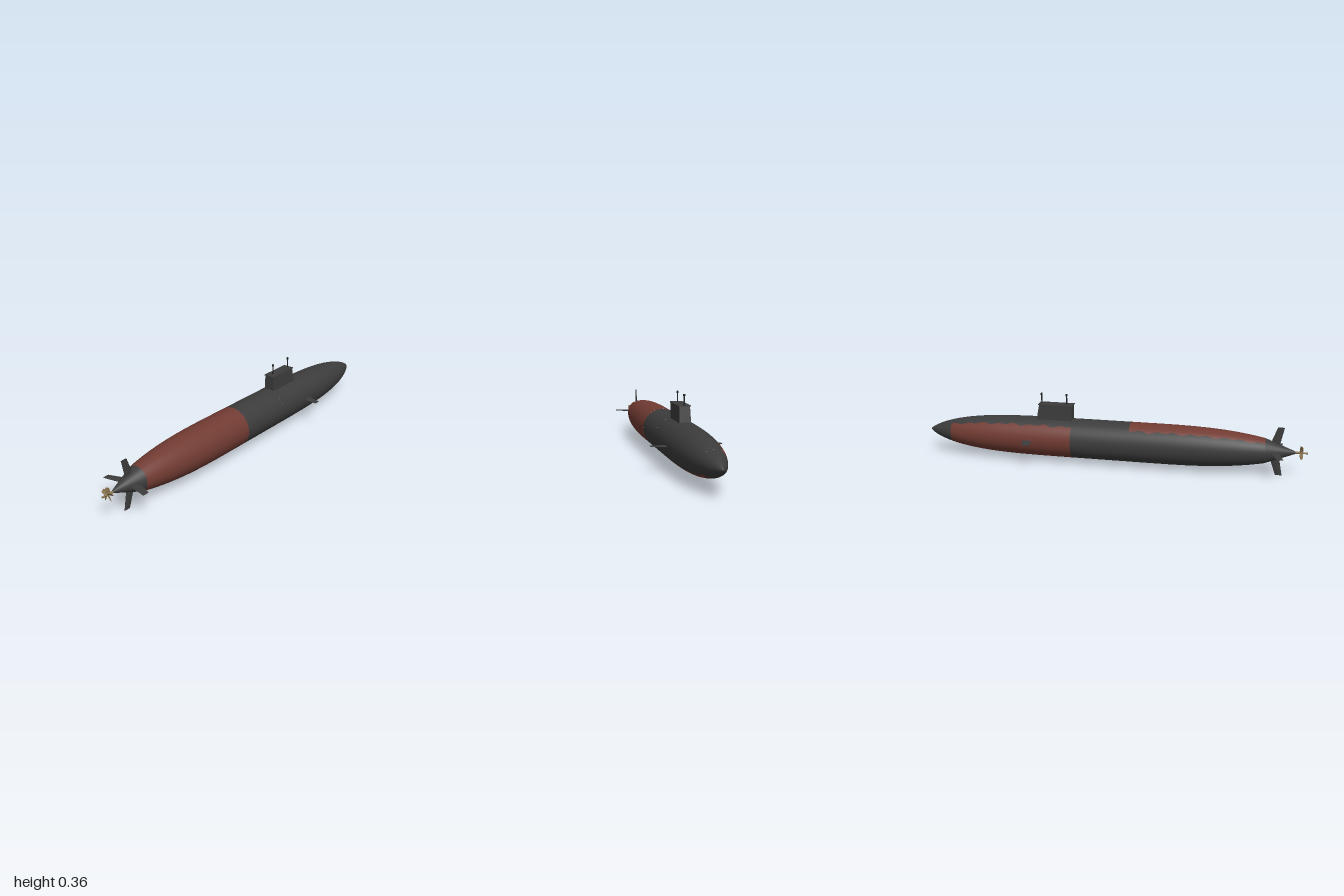
import * as THREE from 'three';

const AXIS_Y = 0.125;

// Hull radius along x: conical tail, long full body, rounded pointed bow
function radius(x) {
  if (x < -0.79) return 0.006 + 0.057 * (x + 0.94) / 0.15;
  if (x < -0.2) return 0.103 - 0.04 * Math.pow((-0.2 - x) / 0.59, 3);
  if (x < 0.1) return 0.103;
  const u = Math.min(1, (x - 0.1) / 0.89);
  return 0.103 * Math.pow(Math.max(0, 1 - Math.pow(u, 4.2)), 0.75);
}

// Wavy longitudinal paint seam, as an angle from +z towards the top
const wave = x => 0.05 * Math.sin(x * 75) + 0.03 * Math.sin(x * 38 + 1);
const lowSeam = x => -0.82 + wave(x);
const highSeam = x => 2.28 + wave(x + 0.4);

// Skin of the hull between two stations and two angles
function hullSkin(x0, x1, from, to, nx, na = 48) {
  const pos = [], nor = [], idx = [];
  for (let i = 0; i <= nx; i++) {
    const x = x0 + (x1 - x0) * i / nx;
    const r = radius(x);
    const lo = Math.max(x - 0.003, x0), hi = Math.min(x + 0.003, x1);
    const slope = (radius(hi) - radius(lo)) / (hi - lo);
    const k = 1 / Math.hypot(1, slope);
    for (let j = 0; j <= na; j++) {
      const a = from(x) + (to(x) - from(x)) * j / na;
      pos.push(x, r * Math.sin(a), r * Math.cos(a));
      nor.push(-slope * k, Math.sin(a) * k, Math.cos(a) * k);
      if (i < nx && j < na) {
        const p = i * (na + 1) + j, q = p + na + 1;
        idx.push(p, q, p + 1, q, q + 1, p + 1);
      }
    }
  }
  const g = new THREE.BufferGeometry();
  g.setAttribute('position', new THREE.Float32BufferAttribute(pos, 3));
  g.setAttribute('normal', new THREE.Float32BufferAttribute(nor, 3));
  g.setIndex(idx);
  return g;
}

// Swept fin pointing up +y, thinning towards the tip
function finGeometry(rootBack, rootFront, tipBack, tipFront, y0, y1, thick) {
  const g = new THREE.BoxGeometry(1, 1, 1, 4, 1, 1).toNonIndexed();
  const p = g.attributes.position;
  for (let i = 0; i < p.count; i++) {
    const u = p.getX(i) + 0.5, v = p.getY(i) + 0.5;
    const back = rootBack + (tipBack - rootBack) * v;
    const front = rootFront + (tipFront - rootFront) * v;
    const foil = 0.15 + 0.85 * Math.sin(Math.PI * u);
    p.setXYZ(i, back + (front - back) * u, y0 + (y1 - y0) * v,
      p.getZ(i) * thick * foil * (1 - 0.5 * v));
  }
  g.computeVertexNormals();
  return g;
}

export function createModel() {
  const mat = (name, color) => {
    const m = new THREE.MeshStandardMaterial({ color });
    m.name = name;
    return m;
  };
  const dark = mat('charcoal', 0x3c3c3c);
  const red = mat('oxide red', 0x713b32);
  const black = mat('black', 0x262626);
  const bronze = mat('bronze', 0x8a734e);

  const model = new THREE.Group();
  model.name = 'submarine';
  const add = (parent, name, geometry, material, x = 0, y = 0, z = 0) => {
    const m = new THREE.Mesh(geometry, material);
    m.name = name;
    m.position.set(x, y, z);
    parent.add(m);
    return m;
  };

  // Hull, split where the paint changes
  const hull = new THREE.Group();
  hull.name = 'hull';
  hull.position.y = AXIS_Y;
  model.add(hull);
  const zero = () => 0, full = () => Math.PI * 2;
  const lowAgain = x => lowSeam(x) + Math.PI * 2;
  add(hull, 'tailCone', hullSkin(-0.94, -0.79, zero, full, 4), dark);
  add(hull, 'sternRedHalf', hullSkin(-0.79, -0.11, lowSeam, highSeam, 90, 28), red);
  add(hull, 'sternDarkHalf', hullSkin(-0.79, -0.11, highSeam, lowAgain, 90, 28), dark);
  add(hull, 'midBody', hullSkin(-0.11, 0.19, zero, full, 8), dark);
  add(hull, 'bowDarkHalf', hullSkin(0.19, 0.855, lowSeam, highSeam, 90, 28), dark);
  add(hull, 'bowRedHalf', hullSkin(0.19, 0.855, highSeam, lowAgain, 90, 28), red);
  add(hull, 'nose', hullSkin(0.855, 0.99, zero, full, 24), dark);

  // Sail with a raked leading edge and slightly narrower top
  const sailShape = new THREE.BoxGeometry(1, 1, 1);
  const sp = sailShape.attributes.position;
  for (let i = 0; i < sp.count; i++) {
    const top = sp.getY(i) > 0, front = sp.getX(i) > 0;
    sp.setXYZ(i, front ? (top ? 0.37 : 0.388) : 0.197,
      top ? 0.302 : 0.2, Math.sign(sp.getZ(i)) * (top ? 0.026 : 0.029));
  }
  sailShape.computeVertexNormals();
  add(model, 'sail', sailShape, dark);
  add(model, 'sailTopPlate', new THREE.BoxGeometry(0.182, 0.004, 0.06), dark, 0.284, 0.303, 0);

  // Masts
  for (const x of [0.228, 0.362]) {
    const mast = new THREE.Group();
    mast.name = 'mast';
    mast.position.set(x, 0, 0);
    model.add(mast);
    add(mast, 'mastPole', new THREE.CylinderGeometry(0.003, 0.003, 0.055, 10), black, 0, 0.327, 0);
    add(mast, 'mastHead', new THREE.CylinderGeometry(0.005, 0.005, 0.01, 10), black, 0, 0.354, 0);
  }

  // Bow planes
  const bowPlane = finGeometry(0.392, 0.448, 0.388, 0.422, 0.09, 0.172, 0.007);
  for (const side of [1, -1]) {
    add(model, 'bowPlane', bowPlane, dark, 0, AXIS_Y, 0).rotation.x = side * Math.PI / 2;
  }

  // Cruciform tail fins
  const tailFin = finGeometry(-0.858, -0.808, -0.88, -0.847, 0.015, 0.125, 0.009);
  for (let i = 0; i < 4; i++) {
    add(model, 'tailFin', tailFin, dark, 0, AXIS_Y, 0).rotation.x = i * Math.PI / 2;
  }

  // Propeller: shaft, hub and five pitched blades
  const propeller = new THREE.Group();
  propeller.name = 'propeller';
  propeller.position.set(-0.968, AXIS_Y, 0);
  model.add(propeller);
  const hub = new THREE.CylinderGeometry(0.006, 0.004, 0.062, 14).rotateZ(-Math.PI / 2);
  add(propeller, 'propellerHub', hub, bronze, -0.001, 0, 0);
  const blade = new THREE.BoxGeometry(0.003, 0.03, 0.018, 1, 6, 1);
  const bp = blade.attributes.position;
  for (let i = 0; i < bp.count; i++) {
    const v = (bp.getY(i) + 0.015) / 0.03;
    const turn = 1.0 - 0.45 * v;
    const w = bp.getZ(i) * (0.55 + 0.6 * Math.sin(Math.PI * (0.1 + 0.75 * v)));
    const t = bp.getX(i);
    bp.setXYZ(i, t * Math.cos(turn) + w * Math.sin(turn), 0.003 + 0.03 * v,
      w * Math.cos(turn) - t * Math.sin(turn));
  }
  blade.computeVertexNormals();
  for (let i = 0; i < 5; i++) {
    add(propeller, 'propellerBlade', blade, bronze).rotation.x = i * Math.PI * 2 / 5;
  }

  return model;
}
